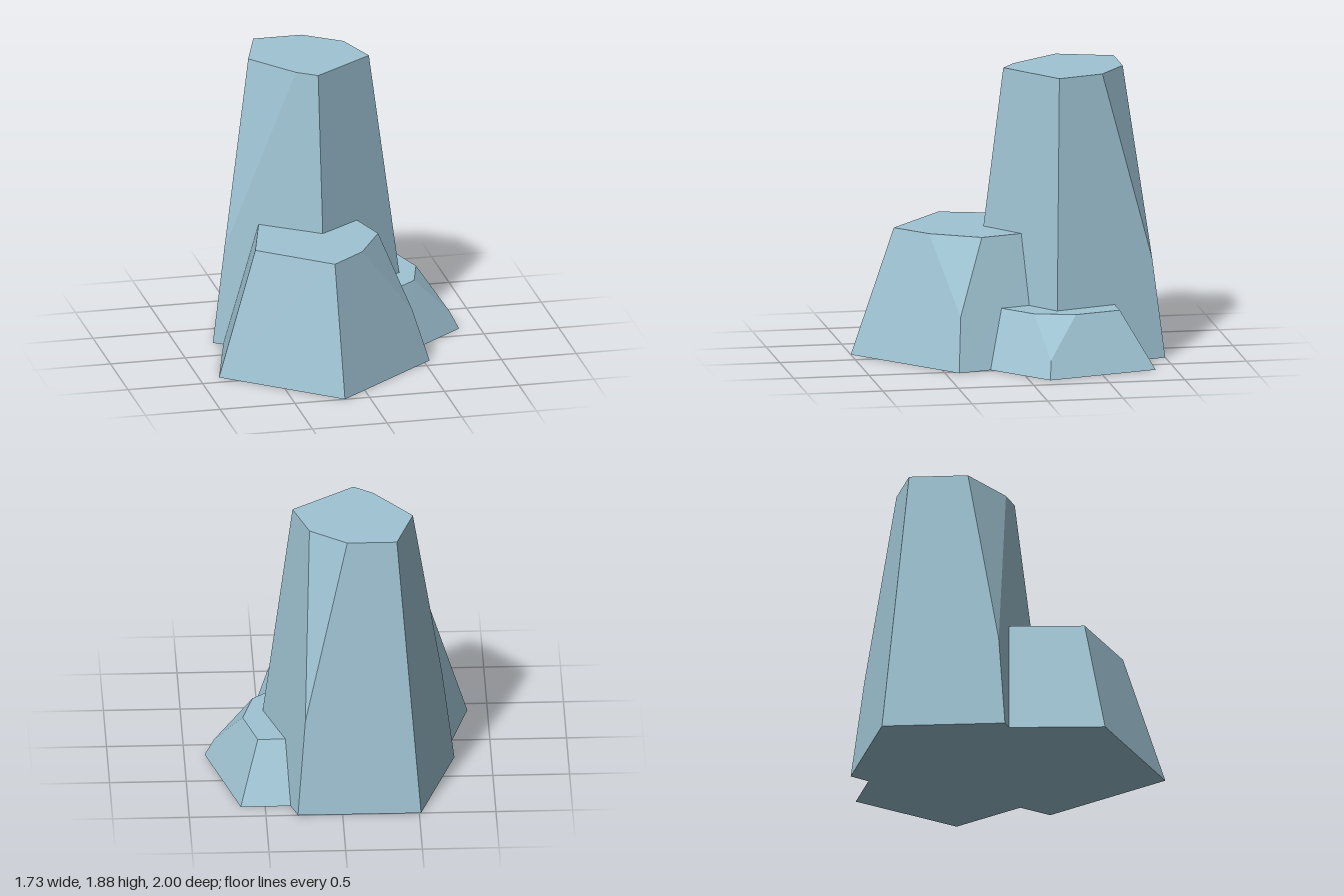
import * as THREE from 'three';

const material = new THREE.MeshStandardMaterial({ color: 0x9fc3d3, flatShading: true });

// Tapered five-sided column; ring = { x, z, rx, rz }, corner 0 at the front, then round by +x.
// Each cut slices the top of one corner: { corner, prev, next, low } as fractions of the
// top edges to its neighbours and of the height where the cut ends.
function column(name, height, base, top, cuts) {
  const ring = (r, y) => Array.from({ length: 5 }, (_, k) => {
    const a = (k * Math.PI * 2) / 5;
    return new THREE.Vector3(r.x + r.rx * Math.sin(a), y, r.z + r.rz * Math.cos(a));
  });
  const b = ring(base, 0);
  const t = ring(top, height);

  // Top outline and foot of the cut for every corner
  const corners = t.map((p, k) => {
    const cut = cuts.find((c) => c.corner === k);
    if (!cut) return { left: [p], right: [p], rim: [p] };
    const low = b[k].clone().lerp(p, cut.low);
    const prev = p.clone().lerp(t[(k + 4) % 5], cut.prev);
    const next = p.clone().lerp(t[(k + 1) % 5], cut.next);
    return { left: [low, prev], right: [next, low], rim: [prev, next], facet: [low, next, prev] };
  });

  const positions = [];
  const face = (pts) => {
    for (let i = 1; i < pts.length - 1; i++) {
      for (const p of [pts[0], pts[i], pts[i + 1]]) positions.push(p.x, p.y, p.z);
    }
  };
  for (let k = 0; k < 5; k++) {
    const n = (k + 1) % 5;
    face([b[k], b[n], ...corners[n].left, ...corners[k].right]);
    if (corners[k].facet) face(corners[k].facet);
  }
  face(corners.flatMap((c) => c.rim));
  face([...b].reverse());

  const geometry = new THREE.BufferGeometry();
  geometry.setAttribute('position', new THREE.Float32BufferAttribute(positions, 3));
  geometry.computeVertexNormals();
  const mesh = new THREE.Mesh(geometry, material);
  mesh.name = name;
  return mesh;
}

export function createModel() {
  const model = new THREE.Group();
  model.name = 'rockColumns';
  model.add(
    // Tall column at the back, chipped at the back right and left corners
    column('tallColumn', 1.885,
      { x: -0.11, z: -0.447, rx: 0.683, rz: 0.683 },
      { x: -0.11, z: -0.43, rx: 0.43, rz: 0.43 },
      [
        { corner: 2, prev: 0.37, next: 0.36, low: 0.345 },
        { corner: 4, prev: 0.24, next: 0.69, low: 0.34 },
      ]),
    // Medium column in front
    column('mediumColumn', 0.835,
      { x: -0.165, z: 0.146, rx: 0.741, rz: 0.854 },
      { x: -0.165, z: 0.172, rx: 0.468, rz: 0.543 },
      [{ corner: 1, prev: 0.49, next: 0.22, low: 0.42 }]),
    // Small column at the side
    column('smallColumn', 0.38,
      { x: 0.326, z: -0.338, rx: 0.567, rz: 0.657 },
      { x: 0.326, z: -0.313, rx: 0.364, rz: 0.42 },
      [{ corner: 1, prev: 0.35, next: 0.35, low: 0.31 }]),
  );
  return model;
}
